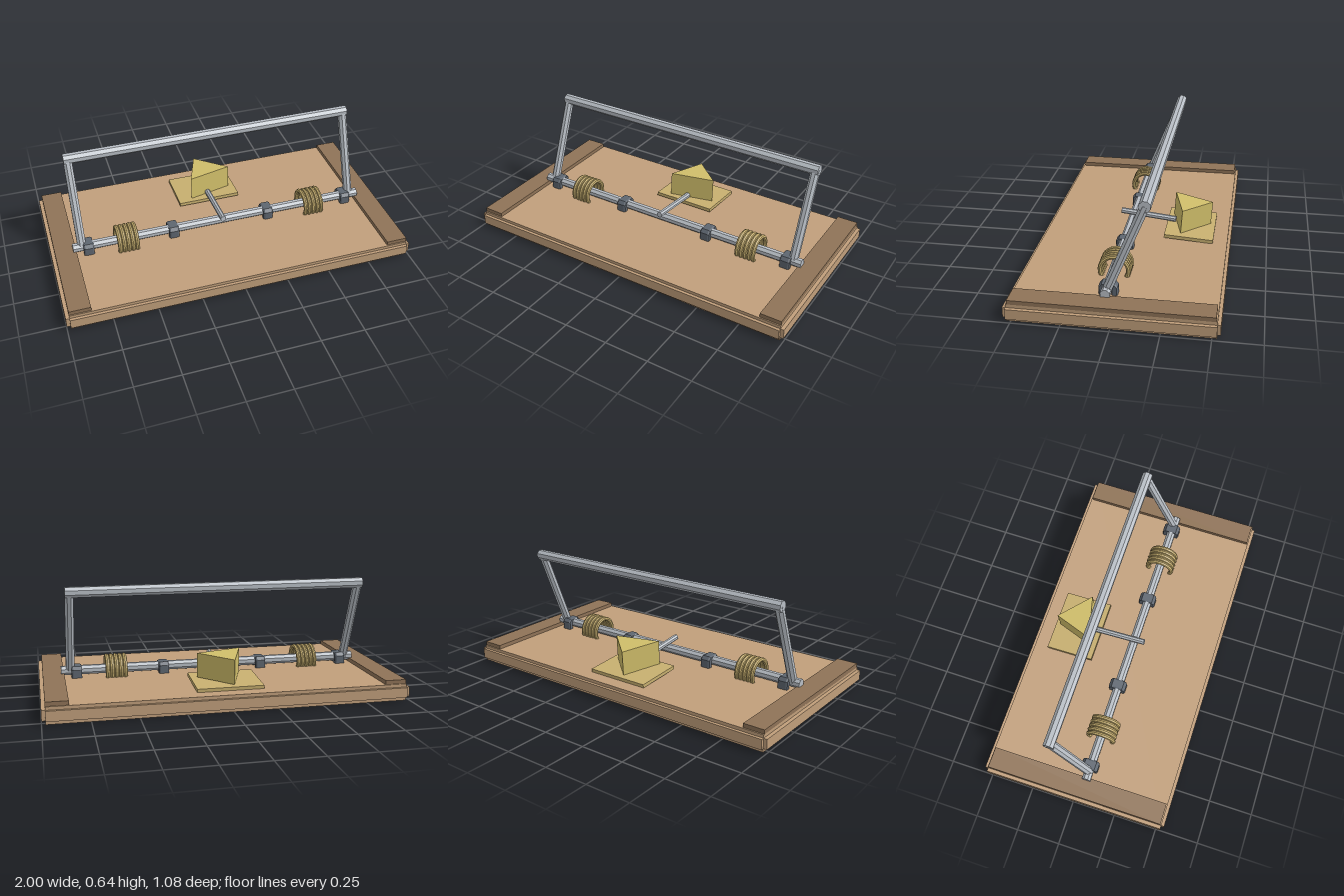
import * as THREE from 'three';

export function createModel() {
  const root = new THREE.Group();
  const mat = (name, color) => {
    const m = new THREE.MeshStandardMaterial({ color, flatShading: true });
    m.name = name;
    return m;
  };
  const wood = mat('wood', 0xc19f7b);
  const darkWood = mat('dark wood', 0x8f7357);
  const steel = mat('steel', 0xb9bfc6);
  const darkSteel = mat('dark steel', 0x5e6670);
  const brass = mat('brass', 0xc8b070);
  const baitYellow = mat('bait yellow', 0xd0be6a);

  const add = (name, geo, material, parent = root) => {
    const mesh = new THREE.Mesh(geo, material);
    mesh.name = name;
    parent.add(mesh);
    return mesh;
  };
  const box = (name, w, h, d, x, y, z, material, parent) => {
    const mesh = add(name, new THREE.BoxGeometry(w, h, d), material, parent);
    mesh.position.set(x, y, z);
    return mesh;
  };
  // Eight-sided rod between two points
  const rod = (name, a, b, r, material) => {
    const from = new THREE.Vector3(...a), to = new THREE.Vector3(...b);
    const dir = to.clone().sub(from);
    const geo = new THREE.CylinderGeometry(r, r, dir.length(), 8);
    geo.rotateY(Math.PI / 8);
    const mesh = add(name, geo, material);
    mesh.quaternion.setFromUnitVectors(new THREE.Vector3(0, 1, 0), dir.normalize());
    mesh.position.copy(from).add(to).multiplyScalar(0.5);
    return mesh;
  };

  // Base board with stepped rims on all four sides
  box('baseBoard', 1.96, 0.094, 1.05, 0, 0.047, 0, wood);
  box('sideRim', 2, 0.056, 1.05, 0, 0.048, 0, wood);
  box('endRim', 1.96, 0.056, 1.084, 0, 0.048, 0, wood);

  // Pivot axle and swinging hammer frame
  const pivotY = 0.13, pivotZ = 0.042, topY = 0.61, topZ = -0.152;
  rod('axle', [-0.877, pivotY, pivotZ], [0.877, pivotY, pivotZ], 0.027, steel);
  rod('hammerBar', [-0.848, topY, topZ], [0.848, topY, topZ], 0.031, steel);

  // Staple: a chamfered arch over the axle
  const arch = new THREE.Shape();
  [[-0.044, 0.09], [-0.022, 0.09], [-0.022, 0.13], [0.022, 0.13], [0.022, 0.09], [0.044, 0.09],
    [0.044, 0.138], [0.03, 0.154], [-0.03, 0.154], [-0.044, 0.138]]
    .forEach(([z, y], i) => (i ? arch.lineTo(z, y) : arch.moveTo(z, y)));
  const stapleGeo = new THREE.ExtrudeGeometry(arch, {
    depth: 0.04, bevelEnabled: true, bevelSize: 0.005, bevelThickness: 0.009, bevelSegments: 1,
  });
  stapleGeo.translate(0, 0, -0.02).rotateY(Math.PI / 2);

  const coilGeo = new THREE.TorusGeometry(0.076, 0.0128, 8, 28).rotateY(Math.PI / 2);

  for (const s of [-1, 1]) {
    box('endStrip', 0.12, 0.026, 1.036, s * 0.92, 0.104, 0, darkWood);
    rod('hammerArm', [s * 0.825, pivotY, pivotZ], [s * 0.825, topY, topZ], 0.026, steel);
    for (const x of [0.29, 0.79]) {
      add('staple', stapleGeo, darkSteel).position.set(s * x, 0, pivotZ - 0.004);
    }
    // Spring made of five touching coils
    const spring = new THREE.Group();
    spring.name = 'spring';
    for (let i = -2; i <= 2; i++) {
      add('coil', coilGeo, brass, spring).position.set(s * 0.567 + i * 0.025, 0.126, pivotZ);
    }
    root.add(spring);
  }

  // Trigger rod
  rod('triggerRod', [0, 0.18, 0.108], [0, 0.145, -0.215], 0.017, steel);

  // Tilted trigger plate carrying a wedge of bait
  const trigger = new THREE.Group();
  trigger.name = 'trigger';
  trigger.position.set(0, 0.112, -0.305);
  trigger.rotation.x = -0.065;
  root.add(trigger);
  box('triggerPlate', 0.37, 0.02, 0.28, -0.002, 0, 0, brass, trigger);
  const wedge = new THREE.Shape();
  wedge.moveTo(-0.107, -0.113);
  wedge.lineTo(0.148, -0.049);
  wedge.lineTo(-0.027, 0.112);
  wedge.closePath();
  const wedgeGeo = new THREE.ExtrudeGeometry(wedge, { depth: 0.139, bevelEnabled: false });
  wedgeGeo.rotateX(-Math.PI / 2);
  add('bait', wedgeGeo, baitYellow, trigger).position.y = 0.0135;

  return root;
}
